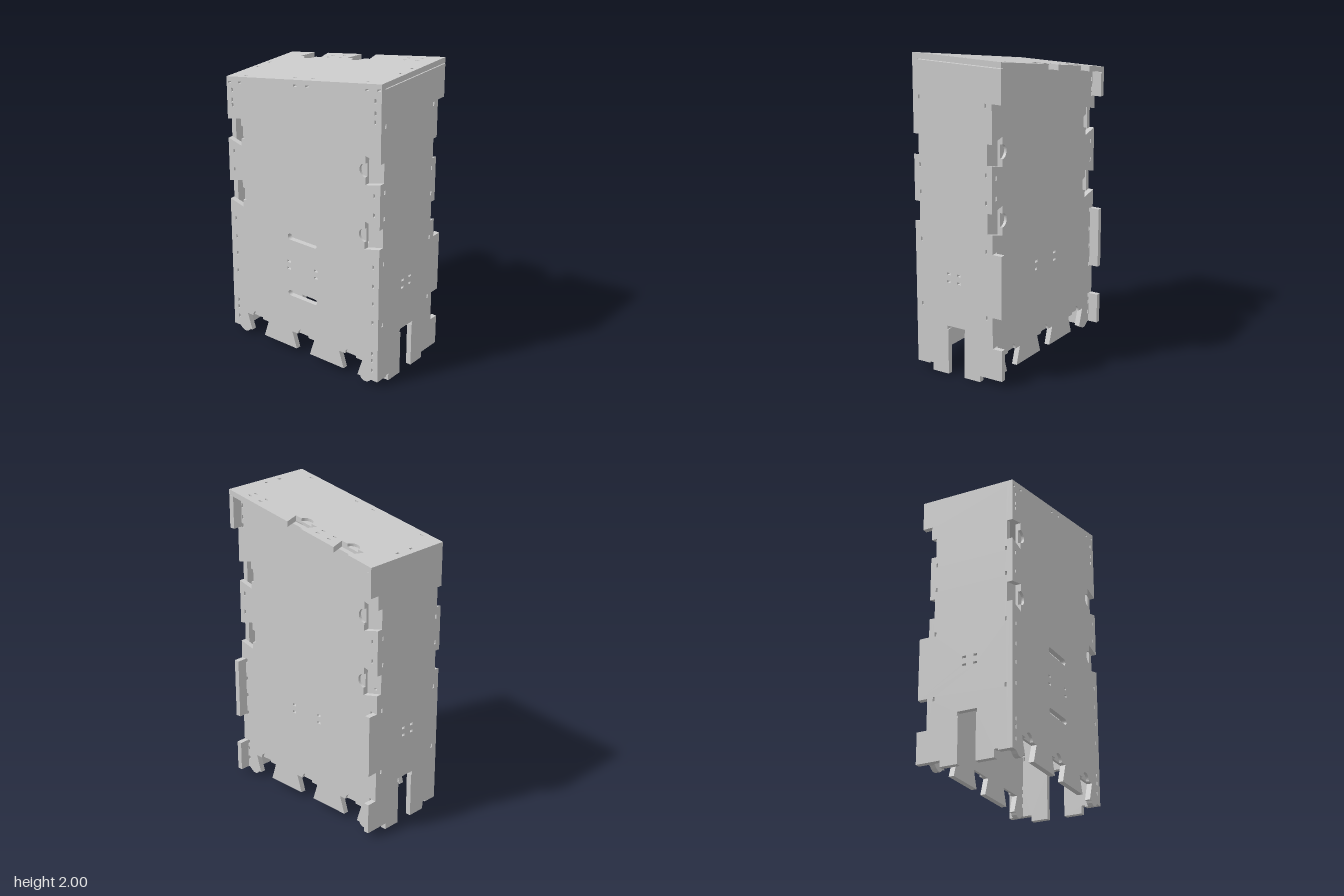
import * as THREE from 'three';

const T = 0.035;      // panel thickness
const POCKET = 0.018; // depth of the finger pockets
const SLOPE = 0.175;  // rise of the roof towards +x
const material = new THREE.MeshStandardMaterial({ color: 0xcccccc });

// Rectangular hole centred on (x, y)
const rect = (x, y, w, h) => [
  [x - w / 2, y - h / 2], [x - w / 2, y + h / 2], [x + w / 2, y + h / 2], [x + w / 2, y - h / 2],
];

// Long hole with rounded ends
function pill(x, y, w, h) {
  const r = h / 2, pts = [];
  for (const s of [1, -1]) {
    for (let i = 0; i <= 10; i++) {
      const a = -Math.PI / 2 + (Math.PI * i) / 10;
      pts.push([x + s * (w / 2 - r + r * Math.cos(a)), y + s * r * Math.sin(a)]);
    }
  }
  return pts;
}

// Dovetail notch on an edge running in direction (dx, dy), with an optional half-round pocket
function dovetail(cx, cy, dx, dy, open, inner, depth, pocket, r = 0.044) {
  const p = (u, v) => [cx + dx * u - dy * v, cy + dy * u + dx * v];
  const pts = [p(-open, 0), p(-inner, depth)];
  if (pocket) {
    for (let i = 0; i <= 16; i++) {
      const a = (Math.PI * i) / 16;
      pts.push(p(-r * Math.cos(a), depth + r * Math.sin(a)));
    }
  }
  pts.push(p(inner, depth), p(open, 0));
  return pts;
}

function extrude(outline, holes, z, depth) {
  const v = (pts) => pts.map(([x, y]) => new THREE.Vector2(x, y));
  const shape = new THREE.Shape(v(outline));
  for (const h of holes) shape.holes.push(new THREE.Path(v(h)));
  return new THREE.ExtrudeGeometry(shape, { depth, bevelEnabled: false }).translate(0, 0, z);
}

// Panel of two layers; only the outer layer carries the pockets
function layeredPanel(name, outline, holes, outerFirst, place) {
  const group = new THREE.Group();
  group.name = name;
  const plainZ = outerFirst ? POCKET : 0;
  const pocketZ = outerFirst ? 0 : T - POCKET;
  const layers = [
    ['core', extrude(outline(false), holes, plainZ, T - POCKET)],
    ['face', extrude(outline(true), holes, pocketZ, POCKET)],
  ];
  for (const [part, geometry] of layers) {
    const mesh = new THREE.Mesh(place(geometry), material);
    mesh.name = name + (part === 'core' ? 'Core' : 'Face');
    group.add(mesh);
  }
  return group;
}

const mirrorX = (pts) => pts.map(([x, y]) => [-x, y]).reverse();

// Bottom edge shared by front and back: rounded feet and three dovetails
function bottomEdge(pocket) {
  const foot = [[-0.55, 0.04], [-0.535, 0.025], [-0.515, 0.014], [-0.49, 0.014], [-0.472, 0.026], [-0.465, 0.04]];
  return [
    ...foot,
    ...[-0.388, 0, 0.388].flatMap((x) => dovetail(x, 0.04, 1, 0, 0.055, 0.092, 0.115, pocket)),
    ...mirrorX(foot),
  ];
}

// Two dovetails on an upright edge; dir is +1 for the left (+x) edge, -1 for the right
function uprightDovetails(dir, pocket) {
  const ys = dir > 0 ? [1.025, 1.445] : [1.445, 1.025];
  return ys.flatMap((y) => dovetail(dir * 0.6, y, 0, dir, 0.064, 0.092, 0.11, pocket));
}

// Small holes shared by front and back
function wallHoles() {
  const holes = [];
  const common = [1.3, 1.175, 0.83, 0.7, 0.58, 0.45, 0.23, 0.18, 0.11];
  const extra = { '1': [1.89, 1.815, 1.76], '-1': [1.71, 1.645, 1.61] };
  for (const s of [-1, 1]) {
    for (const y of [...common, ...extra[s]]) holes.push(rect(s * 0.556, y, 0.013, 0.026));
    for (const y of [0.61, 0.66]) holes.push(rect(s * 0.11, y, 0.028, 0.014));
  }
  return holes;
}

function frontPanel() {
  const outline = (pocket) => [
    [-0.6, 0.04], ...bottomEdge(pocket), [0.6, 0.04],
    ...uprightDovetails(1, pocket), [0.6, 2], [-0.6, 1.79], ...uprightDovetails(-1, pocket),
  ];
  const slanted = [-0.575, -0.49, -0.045, 0.05, 0.495, 0.58].map((x) =>
    rect(x, 0, 0.026, 0.013).map(([px, py]) => [px, py + 1.895 - 0.037 + px * SLOPE]));
  const holes = [...wallHoles(), ...slanted, pill(0, 0.837, 0.236, 0.042), pill(0, 0.437, 0.236, 0.038)];
  return layeredPanel('frontPanel', outline, holes, false, (g) => g.translate(0, 0, 0.28));
}

function backPanel() {
  const e = 0.6 - T;
  const lowerTabs = [[e, 0.04], [e, 0.24], [0.6, 0.24], [0.6, 0.44], [e, 0.44], [e, 0.84], [0.6, 0.84]];
  const outline = (pocket) => [
    ...bottomEdge(pocket), ...lowerTabs, ...uprightDovetails(1, pocket),
    [0.6, 1.75], [e, 1.75], [e, 1.959], [-e, 1.761], [-e, 1.6], [-0.6, 1.6],
    ...uprightDovetails(-1, pocket), ...mirrorX(lowerTabs),
  ];
  return layeredPanel('backPanel', outline, wallHoles(), true, (g) => g.translate(0, 0, -0.25));
}

// Side wall drawn in (z, y): feet and slot below, tabs through the back panel
function sidePanel(name, x, top, tabBottom) {
  const outline = [
    [-0.315, 0.04], [-0.155, 0.04], [-0.155, 0], [-0.04, 0], [-0.04, 0.295], [-0.047, 0.295],
    [-0.047, 0.32], [0.087, 0.32], [0.087, 0.295], [0.08, 0.295], [0.08, 0], [0.2, 0],
    [0.2, 0.05], [0.225, 0.05], [0.225, 0.04], [0.28, 0.04], [0.28, top], [-0.315, top],
    [-0.315, tabBottom], [-0.215, tabBottom], [-0.215, 0.84], [-0.315, 0.84], [-0.315, 0.44],
    [-0.215, 0.44], [-0.215, 0.24], [-0.315, 0.24],
  ];
  const holes = [];
  for (const z of [0.272, -0.206]) {
    for (const y of [1.735, 1.32, 1.15, 0.85, 0.43]) {
      if (y + 0.03 < top) holes.push(rect(z, y, 0.012, 0.026));
    }
  }
  for (const z of [0.07, -0.005]) for (const y of [0.66, 0.61]) holes.push(rect(z, y, 0.026, 0.014));
  const geometry = extrude(outline, holes, 0, T).rotateY(-Math.PI / 2).translate(x, 0, 0);
  const mesh = new THREE.Mesh(geometry, material);
  mesh.name = name;
  return mesh;
}

// Sloping roof drawn in (x, -z), then sheared to the slope
function roofPanel() {
  const outline = (pocket) => [
    [-0.6, -0.28], [0.6, -0.28], [0.6, 0.315],
    ...[0.027, -0.357].flatMap((x) => dovetail(x, 0.315, -1, 0, 0.056, 0.088, 0.105, pocket, 0.042)),
    [-0.6, 0.315],
  ];
  const holes = [];
  for (const x of [-0.47, -0.075, 0.065, 0.465]) holes.push(rect(x, -0.27, 0.025, 0.012));
  for (const x of [-0.213, -0.12, 0.37, 0.465]) {
    for (const y of [0.262, 0.214]) holes.push(rect(x, y, 0.024, 0.013));
  }
  // Corner reliefs beside the side-wall joints
  for (const s of [-1, 1]) for (const y of [0.04, -0.075]) holes.push(rect(s * 0.556, y, 0.014, 0.024));
  const shear = new THREE.Matrix4().set(1, 0, 0, 0, SLOPE, 1, 0, 1.895 - T, 0, 0, 1, 0, 0, 0, 0, 1);
  return layeredPanel('roofPanel', outline, holes, false, (g) => {
    g.rotateX(-Math.PI / 2).applyMatrix4(shear);
    g.computeVertexNormals();
    return g;
  });
}

export function createModel() {
  const model = new THREE.Group();
  model.name = 'slopedCabinet';
  model.add(
    frontPanel(),
    backPanel(),
    sidePanel('leftSide', 0.6, 1.96, 1.75),
    sidePanel('rightSide', -0.6 + T, 1.757, 1.6),
    roofPanel(),
  );
  return model;
}
